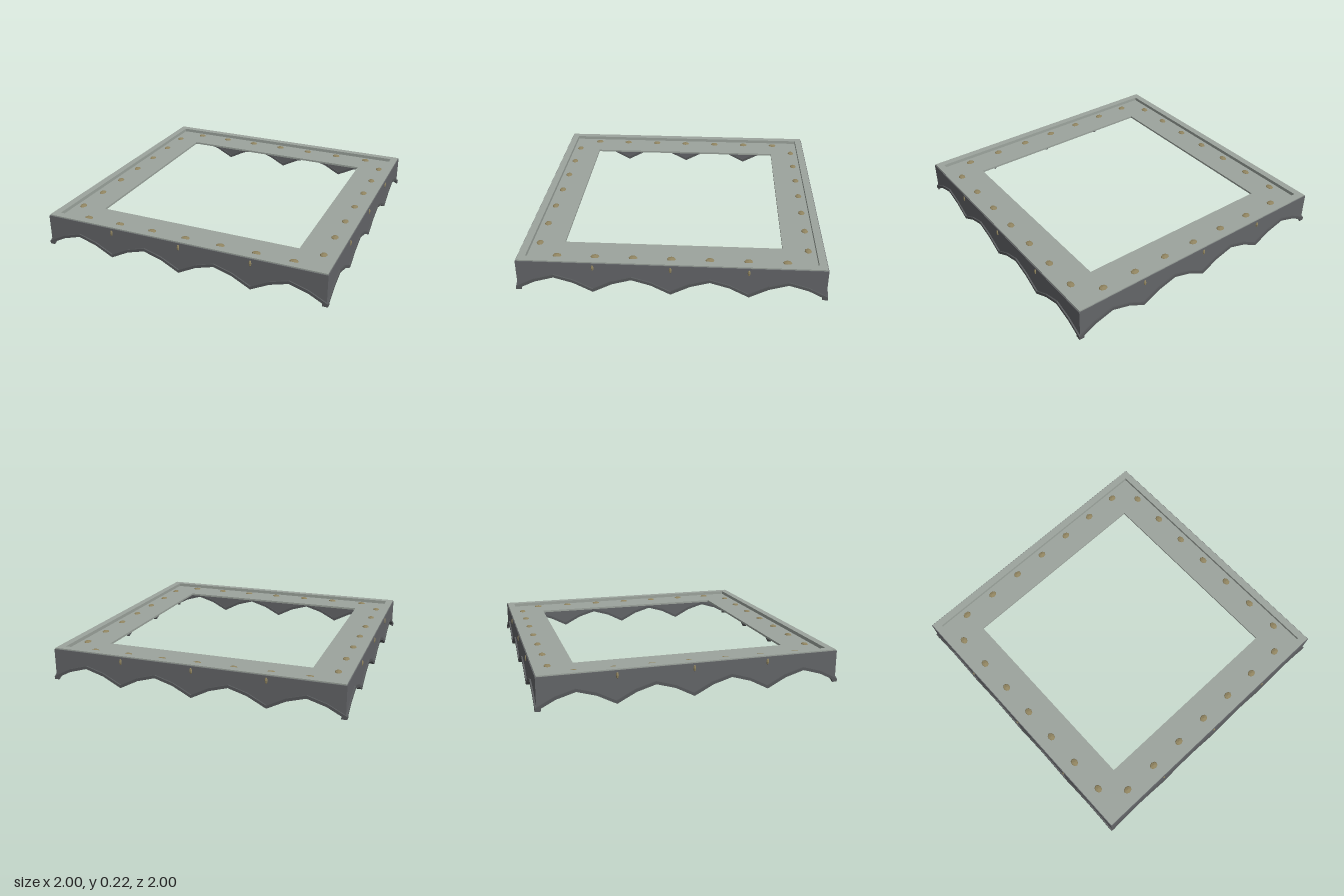
import * as THREE from 'three';

const mat = (name, color) => Object.assign(new THREE.MeshStandardMaterial({ color }), { name });

// lower scalloped edge: four arches of straight segments, kept inside +-half
function scallop(half, lift) {
  const pts = [];
  const arch = [[0, 0], [0.125, 0.065], [0.25, 0.102], [0.375, 0.065]];
  for (let i = 0; i < 4; i++) {
    for (const [x, y] of arch) pts.push([(-1 + i * 0.5 + x) * half, y + lift]);
  }
  pts.push([half, lift]);
  return pts;
}

function extrude(points, depth) {
  const shape = new THREE.Shape(points.map(([x, y]) => new THREE.Vector2(x, y)));
  return new THREE.ExtrudeGeometry(shape, { depth, bevelEnabled: false });
}

// flat square ring lying between two heights
function squareRing(outer, inner, y0, y1) {
  const square = (r) => [[-r, -r], [r, -r], [r, r], [-r, r]].map(([x, y]) => new THREE.Vector2(x, y));
  const shape = new THREE.Shape(square(outer));
  shape.holes.push(new THREE.Path(square(inner).reverse()));
  const geo = new THREE.ExtrudeGeometry(shape, { depth: y1 - y0, bevelEnabled: false });
  return geo.rotateX(-Math.PI / 2).translate(0, y0, 0);
}

export function createModel() {
  const stone = mat('pale stone', 0x9ca49d);
  const iron = mat('dark grey', 0x636568);
  const edge = mat('trim grey', 0x57595b);
  const brass = mat('dull brass', 0x908460);

  const model = new THREE.Group();
  model.name = 'scallopedFrame';
  const add = (parent, name, geo, material) => {
    const mesh = new THREE.Mesh(geo, material);
    mesh.name = name;
    parent.add(mesh);
    return mesh;
  };

  // raised rim around a recessed flat plate
  add(model, 'rim', squareRing(0.985, 0.935, 0.165, 0.22), stone);
  add(model, 'plate', squareRing(0.95, 0.72, 0.182, 0.196), stone);

  // skirt panel, and trim band following its lower edge
  const skirtGeo = extrude([...scallop(0.99, 0.006), [0.99, 0.212], [-0.99, 0.212]], 0.02).translate(0, 0, 0.97);
  const trimGeo = extrude([...scallop(1, 0), ...scallop(1, 0.02).reverse()], 0.036).translate(0, 0, 0.964);

  // faceted studs
  const facet = (w, h) => new THREE.SphereGeometry(1, w, h).toNonIndexed();
  const plateStud = facet(8, 4).scale(0.035, 0.018, 0.028);
  const skirtStud = facet(6, 4).scale(0.01, 0.022, 0.01);
  plateStud.computeVertexNormals();
  skirtStud.computeVertexNormals();

  ['front', 'left', 'back', 'right'].forEach((label, i) => {
    const side = new THREE.Group();
    side.name = label + 'Side';
    side.rotation.y = (i * Math.PI) / 2;
    add(side, 'skirt', skirtGeo, iron);
    add(side, 'skirtTrim', trimGeo, edge);
    for (let k = -3; k <= 3; k++) {
      add(side, 'plateStud', plateStud, brass).position.set(k * 0.247, 0.189, 0.885);
    }
    for (let k = -1; k <= 1; k++) {
      add(side, 'skirtStud', skirtStud, brass).position.set(k * 0.495, 0.18, 0.989);
    }
    model.add(side);
  });

  return model;
}
